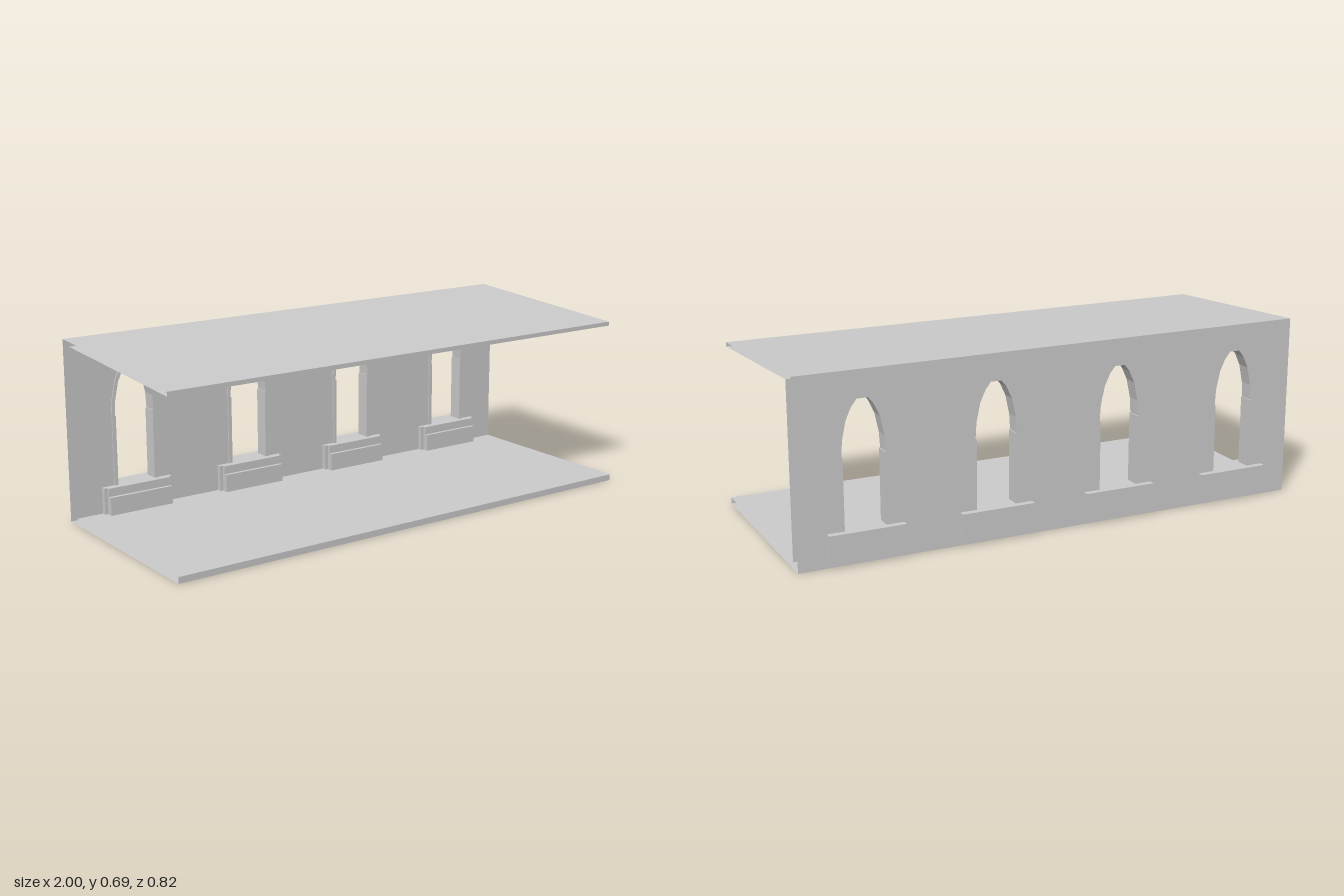
import * as THREE from 'three';

const material = new THREE.MeshStandardMaterial({ color: 0xcccccc, flatShading: true, side: THREE.DoubleSide });
const WINDOWS = [-0.75, -0.25, 0.25, 0.75];
const BACK = -0.39, INNER = -0.34;

// half contours of the faceted pointed arch: [half width, height]
const ARCH_OUT = [[0.094, 0.39], [0.09, 0.45], [0.074, 0.53], [0.05, 0.58], [0.024, 0.612]];
const ARCH_IN = [[0.081, 0.39], [0.077, 0.45], [0.062, 0.52], [0.041, 0.565], [0.02, 0.591]];

// full contour, from the right foot over the top to the left foot
function arch(half, cx = 0) {
  const right = half.map(([x, y]) => new THREE.Vector2(cx + x, y));
  const left = half.map(([x, y]) => new THREE.Vector2(cx - x, y)).reverse();
  return [...right, ...left];
}

function add(parent, name, geometry) {
  const mesh = new THREE.Mesh(geometry, material);
  mesh.name = name;
  parent.add(mesh);
  return mesh;
}

function box(parent, name, x0, x1, y0, y1, z0, z1) {
  const mesh = add(parent, name, new THREE.BoxGeometry(x1 - x0, y1 - y0, z1 - z0));
  mesh.position.set((x0 + x1) / 2, (y0 + y1) / 2, (z0 + z1) / 2);
}

// open ribbon: a path swept along a straight vector
function ribbon(path, sweep) {
  const pos = [];
  for (let i = 0; i < path.length - 1; i++) {
    const a = path[i], b = path[i + 1];
    const c = b.clone().add(sweep), d = a.clone().add(sweep);
    for (const p of [a, b, c, a, c, d]) pos.push(p.x, p.y, p.z);
  }
  const g = new THREE.BufferGeometry();
  g.setAttribute('position', new THREE.Float32BufferAttribute(pos, 3));
  g.computeVertexNormals();
  return g;
}

// slab skin running the whole length, open at both ends; profile is [z, y]
function slab(profile) {
  return ribbon(profile.map(([z, y]) => new THREE.Vector3(1, y, z)), new THREE.Vector3(-2, 0, 0));
}

// one wall face pierced by the window openings
function wallFace(y0, y1) {
  const shape = new THREE.Shape([[-1, y0], [1, y0], [1, y1], [-1, y1]].map(([x, y]) => new THREE.Vector2(x, y)));
  for (const cx of WINDOWS) shape.holes.push(new THREE.Path(opening(cx)));
  return new THREE.ShapeGeometry(shape);
}

function opening(cx) {
  return arch([[0.081, 0.1], ...ARCH_IN], cx);
}

function createWindow() {
  const g = new THREE.Group();
  g.name = 'window';

  // arch moulding on the inner side
  const ring = new THREE.Shape([...arch(ARCH_OUT), ...arch(ARCH_IN).reverse()]);
  const moulding = add(g, 'archMoulding', new THREE.ExtrudeGeometry(ring, { depth: 0.02, bevelEnabled: false }));
  moulding.position.z = -0.355;

  // lining of the opening
  const edge = opening(0).map(p => new THREE.Vector3(p.x, p.y, BACK));
  add(g, 'reveal', ribbon(edge.reverse(), new THREE.Vector3(0, 0, INNER - BACK)));

  // jambs, mirrored
  for (const [side, s] of [['left', 1], ['right', -1]]) {
    const span = (a, b) => [Math.min(s * a, s * b), Math.max(s * a, s * b)];
    box(g, side + 'JambLining', ...span(0.077, 0.088), 0.1, 0.39, -0.391, -0.35);
    box(g, side + 'JambTrim', ...span(0.077, 0.092), 0.1, 0.39, -0.35, -0.335);
  }

  // stepped sill
  box(g, 'sill', -0.143, 0.143, 0.024, 0.125, -0.415, -0.322);
  box(g, 'sillPanel', -0.13, 0.13, 0.024, 0.125, -0.322, -0.31);
  box(g, 'sillLedge', -0.13, 0.13, 0.024, 0.093, -0.31, -0.296);
  return g;
}

export function createModel() {
  const model = new THREE.Group();
  model.name = 'windowedGallery';

  // sloping roof and flat floor
  add(model, 'roof', slab([[INNER, 0.673], [0.37, 0.631], [0.37, 0.647], [BACK, 0.693]]));
  add(model, 'floor', slab([[BACK, 0], [0.41, 0], [0.41, 0.024], [INNER, 0.024]]));

  // back wall, a hollow skin of two faces
  const outer = add(model, 'outerWall', wallFace(0, 0.693).rotateY(Math.PI));
  outer.position.z = BACK;
  const inner = add(model, 'innerWall', wallFace(0.024, 0.673));
  inner.position.z = INNER;

  for (const x of WINDOWS) {
    const w = createWindow();
    w.position.x = x;
    model.add(w);
  }
  return model;
}
